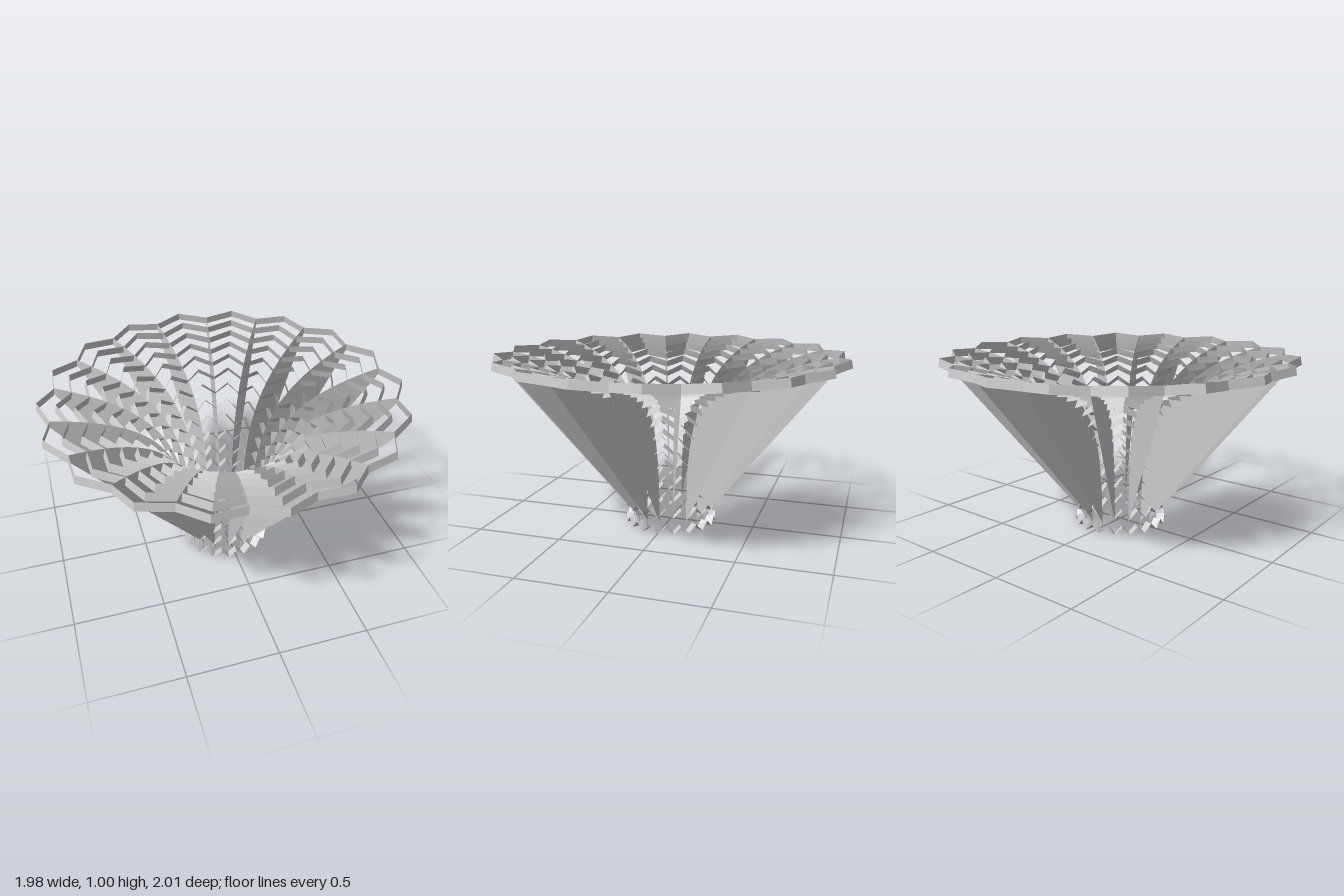
import * as THREE from 'three';

const SIDES = 18, RINGS = 15, WIDTH = 0.046;

// Trumpet profile: x is the radius, y the height
const profile = new THREE.CubicBezierCurve(
  new THREE.Vector2(0.22, 0), new THREE.Vector2(0.22, 0.6),
  new THREE.Vector2(0.3, 0.87), new THREE.Vector2(0.93, 0.99));

// Zigzag band standing square to the profile, its peaks pushed along the profile
function ringGeometry(u) {
  const p = profile.getPointAt(u), t = profile.getTangentAt(u);
  const reach = THREE.MathUtils.lerp(0.045, 0.068, u);
  const positions = [], index = [];
  for (let j = 0; j <= SIDES * 2; j++) {
    const a = j * Math.PI / SIDES;
    const push = j % 2 === 0 ? reach : 0;
    for (const w of [0, WIDTH]) {
      const r = p.x + t.x * push + t.y * w;
      const y = p.y + t.y * push - t.x * w;
      positions.push(r * Math.sin(a), Math.max(y, 0), r * Math.cos(a));
    }
    if (j < SIDES * 2) {
      const k = j * 2;
      index.push(k, k + 1, k + 3, k, k + 3, k + 2);
    }
  }
  const g = new THREE.BufferGeometry();
  g.setAttribute('position', new THREE.Float32BufferAttribute(positions, 3));
  g.setIndex(index);
  const flat = g.toNonIndexed();
  flat.computeVertexNormals();
  return flat;
}

export function createModel() {
  const group = new THREE.Group();
  const material = new THREE.MeshStandardMaterial({
    color: 0xcccccc, flatShading: true, side: THREE.DoubleSide });

  // Radial fins: curved inner edge, straight sloping outer edge
  const finShape = new THREE.Shape(profile.getSpacedPoints(28));
  finShape.lineTo(0.937, 0.955);
  finShape.lineTo(0.226, 0.06);
  finShape.lineTo(0.222, 0);
  const finGeometry = new THREE.ShapeGeometry(finShape);
  const fins = new THREE.Group();
  fins.name = 'radialFins';
  for (let i = 0; i < SIDES; i++) {
    const fin = new THREE.Mesh(finGeometry, material);
    fin.name = 'fin';
    fin.rotation.y = i * 2 * Math.PI / SIDES;
    fins.add(fin);
  }

  // Zigzag rings spaced evenly along the profile
  const rings = new THREE.Group();
  rings.name = 'zigzagRings';
  for (let i = 0; i < RINGS; i++) {
    const ring = new THREE.Mesh(ringGeometry(i / (RINGS - 1)), material);
    ring.name = 'zigzagRing';
    rings.add(ring);
  }

  group.add(fins, rings);
  return group;
}
